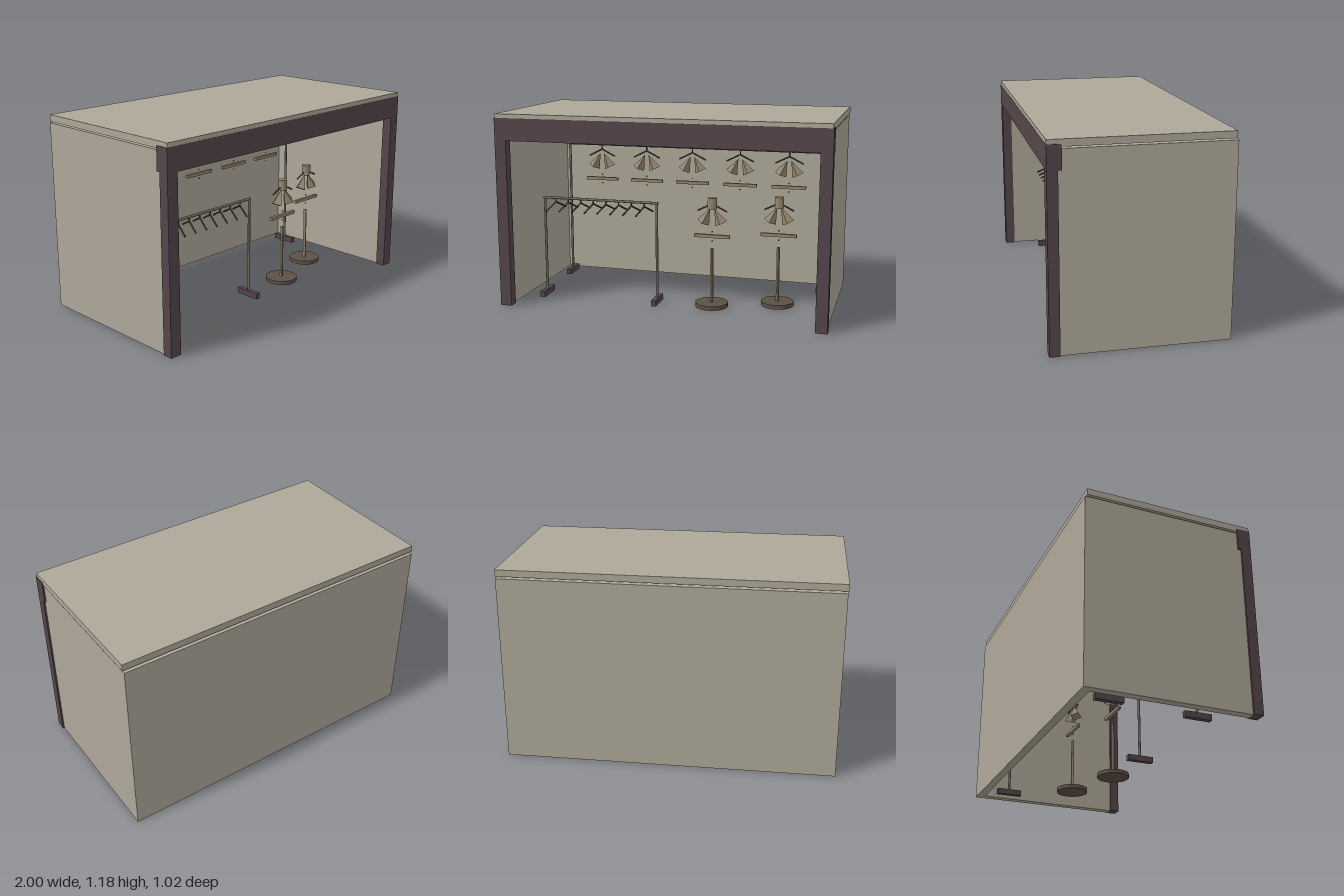
import * as THREE from 'three';

function mat(name, color, extra = {}) {
  const m = new THREE.MeshStandardMaterial({ color, ...extra });
  m.name = name;
  return m;
}

export function createModel() {
  const root = new THREE.Group();
  root.name = 'clothesStall';

  const wall = mat('warm grey wall', 0xaea899);
  const trim = mat('plum trim', 0x54464a);
  const metal = mat('grey metal', 0x6d6c62);
  const cloth = mat('tan cloth', 0x96866e, { flatShading: true });
  const wood = mat('dark wood', 0x5c5145);
  const dark = mat('dark hanger', 0x45403a);

  function add(parent, name, geo, material, x = 0, y = 0, z = 0) {
    const m = new THREE.Mesh(geo, material);
    m.name = name;
    m.position.set(x, y, z);
    parent.add(m);
    return m;
  }
  // box from its minimum and maximum corners
  function box(parent, name, material, x0, x1, y0, y1, z0, z1) {
    return add(parent, name, new THREE.BoxGeometry(x1 - x0, y1 - y0, z1 - z0), material,
      (x0 + x1) / 2, (y0 + y1) / 2, (z0 + z1) / 2);
  }
  // straight round bar between two points
  function rod(parent, name, material, a, b, r) {
    const p = new THREE.Vector3(...a), q = new THREE.Vector3(...b);
    const m = add(parent, name, new THREE.CylinderGeometry(r, r, p.distanceTo(q), 10), material);
    m.position.copy(p).add(q).multiplyScalar(0.5);
    m.quaternion.setFromUnitVectors(new THREE.Vector3(0, 1, 0), q.sub(p).normalize());
    return m;
  }
  function group(name, x, y, z, turn = 0) {
    const g = new THREE.Group();
    g.name = name;
    g.position.set(x, y, z);
    g.rotation.y = turn;
    root.add(g);
    return g;
  }

  // shell: three walls, floating roof, front frame
  box(root, 'backWall', wall, -0.99, 0.99, 0, 1.13, -0.51, -0.46);
  for (const [side, s] of [['left', 1], ['right', -1]]) {
    add(root, side + 'Wall', new THREE.BoxGeometry(0.05, 1.13, 0.91), wall, s * 0.965, 0.565, -0.005);
    add(root, side + 'FrontPost', new THREE.BoxGeometry(0.07, 1.02, 0.06), trim, s * 0.965, 0.51, 0.48);
  }
  box(root, 'roof', wall, -0.995, 0.995, 1.14, 1.18, -0.5, 0.509);
  box(root, 'frontHeader', trim, -1, 1, 1.02, 1.155, 0.43, 0.51);
  box(root, 'ceilingTrack', trim, -0.8, 0.8, 1.13, 1.14, 0.07, 0.14);

  // freestanding clothes rail
  function rack(name, x0, x1, height, z) {
    const g = group(name, 0, 0, z);
    for (const x of [x0, x1]) {
      rod(g, 'railPost', metal, [x, 0.02, 0], [x, height, 0], 0.008);
      box(g, 'railFoot', trim, x - 0.015, x + 0.015, 0, 0.035, -0.08, 0.08);
    }
    rod(g, 'railBar', metal, [x0 - 0.008, height, 0], [x1 + 0.008, height, 0], 0.008);
  }
  rack('longRack', -0.86, 0.855, 0.903, -0.32);
  rack('shortRack', -0.82, -0.085, 0.63, 0.21);

  // sloping shoulders, origin at their peak
  function shoulders(g, material) {
    for (const s of [-1, 1]) rod(g, 'hangerArm', material, [0, 0, 0], [s * 0.09, -0.045, 0], 0.005);
  }
  // two pleated flaps with a hem bar and small buttons below
  function garment(g) {
    shoulders(g, wood);
    for (const s of [-1, 1]) {
      const flap = add(g, 'clothFlap', new THREE.ConeGeometry(0.04, 0.1, 4), cloth, s * 0.034, -0.073, 0);
      flap.rotation.z = s * 0.44;
    }
    add(g, 'hemBar', new THREE.BoxGeometry(0.22, 0.02, 0.02), cloth, 0, -0.2, 0);
    for (const y of [-0.172, -0.23]) add(g, 'button', new THREE.SphereGeometry(0.005, 8, 6), wood, 0, y, 0);
  }

  // clothes on the long rack
  for (const x of [-0.63, -0.315, 0, 0.32, 0.64]) {
    const g = group('hangingGarment', x, 0.87, -0.32);
    rod(g, 'hangerHook', dark, [0, 0, 0], [0, 0.035, 0], 0.004);
    garment(g);
  }

  // empty hangers on the short rack, turned nearly edge-on
  for (let i = 0; i < 8; i++) {
    const g = group('emptyHanger', -0.746 + i * 0.083, 0.605, 0.21, 1.25);
    rod(g, 'hangerHook', dark, [0, 0, 0], [0, 0.025, 0], 0.004);
    shoulders(g, dark);
  }

  // display stands: disc, pole, garment and neck block
  for (const [x, z] of [[0.255, 0.18], [0.64, 0.05]]) {
    const g = group('displayStand', x, 0, z);
    add(g, 'standBase', new THREE.CylinderGeometry(0.1, 0.1, 0.025, 32), wood, 0, 0.0125, 0);
    rod(g, 'standPole', cloth, [0, 0.02, 0], [0, 0.365, 0], 0.01);
    const top = group('standGarment', 0, 0.64, 0);
    g.add(top);
    garment(top);
    add(g, 'standNeck', new THREE.CylinderGeometry(0.028, 0.028, 0.068, 16), cloth, 0, 0.643, 0);
  }
  return root;
}
